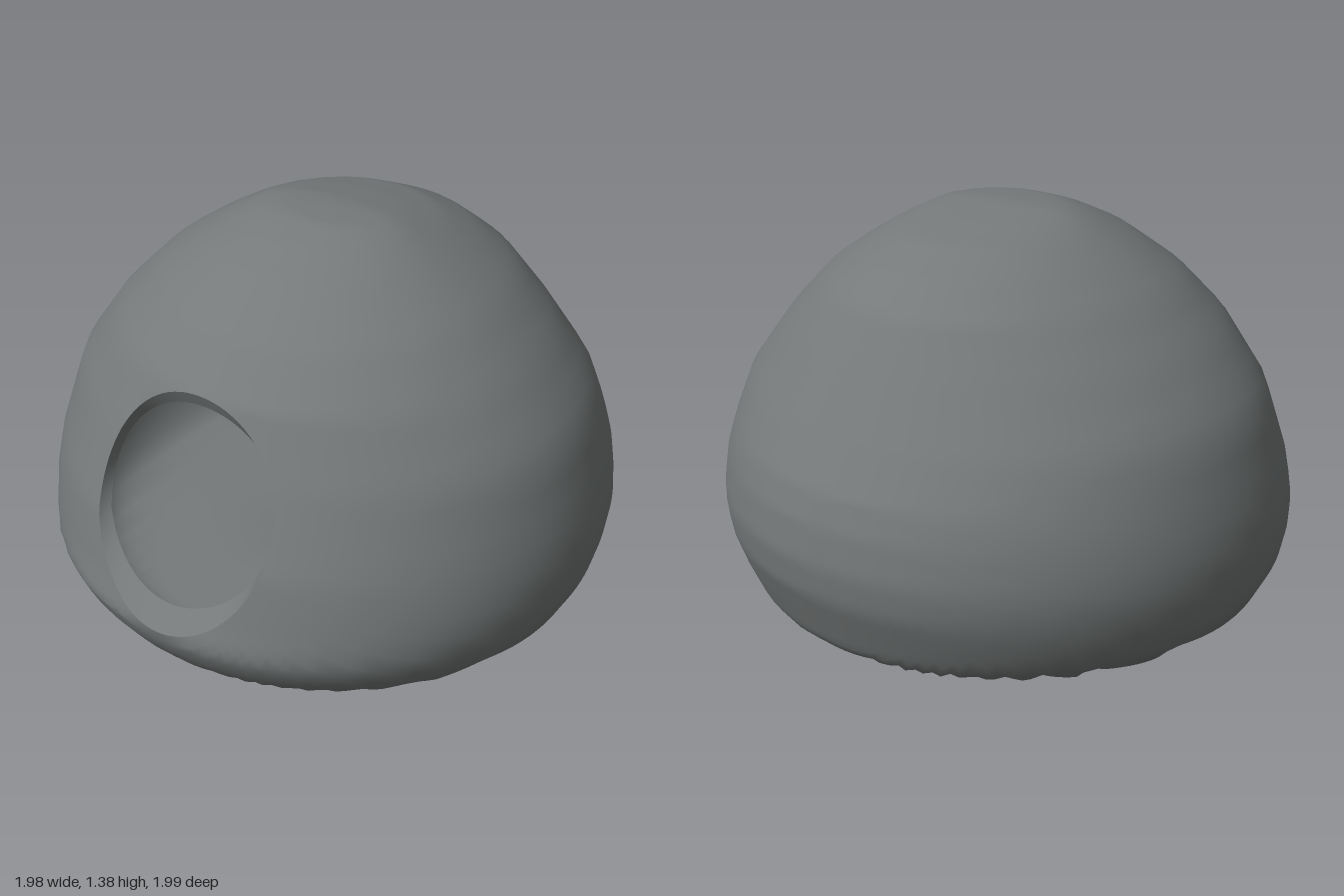
import * as THREE from 'three';
import { mergeVertices } from 'three/addons/utils/BufferGeometryUtils.js';

// Dome cross-sections as [height, reach] pairs: sideways, forward and backward.
const SIDE = [[0.04, 0.78], [0.06, 0.87], [0.1, 0.915], [0.2, 0.965], [0.3, 0.985], [0.4, 0.995], [0.55, 0.97], [0.8, 0.9],
  [1, 0.75], [1.16, 0.59], [1.25, 0.46], [1.31, 0.36], [1.36, 0.26], [1.376, 0.19], [1.383, 0]];
const FRONT = [[0.04, 0.78], [0.06, 0.84], [0.1, 0.905], [0.18, 0.96], [0.26, 0.995], [0.35, 0.965], [0.53, 0.92], [0.8, 0.8],
  [1, 0.71], [1.14, 0.58], [1.28, 0.39], [1.34, 0.26], [1.376, 0.15], [1.383, 0]];
const BACK = [[0.04, 0.8], [0.07, 0.88], [0.1, 0.9], [0.2, 0.94], [0.3, 0.98], [0.42, 0.995], [0.55, 0.98], [0.65, 0.95], [0.8, 0.865],
  [1, 0.745], [1.14, 0.66], [1.24, 0.54], [1.31, 0.39], [1.35, 0.22], [1.376, 0.07], [1.383, 0]];

const CENTER_Y = 0.6, AROUND = 80, ROWS = 90;

function reach(table, y) {
  if (y <= table[0][0]) return table[0][1];
  for (let i = 1; i < table.length; i++) {
    const [y0, r0] = table[i - 1], [y1, r1] = table[i];
    if (y <= y1) return r0 + (r1 - r0) * (y - y0) / (y1 - y0);
  }
  return 0;
}

// Underside: slopes up slightly to the back and sags in the middle
const floorAt = (x, z) => 0.057 - 0.014 * z - 0.055 * Math.exp(-(x * x + z * z) / 0.09);

function inside(x, y, z) {
  if (y < floorAt(x, z) || y > 1.382) return false;
  const a = reach(SIDE, y), b = reach(z > 0 ? FRONT : BACK, y);
  return (x / a) ** 2 + (z / b) ** 2 < 1;
}

// Distance from the centre to the dome surface along a direction
function surfaceDistance(d) {
  let near = 0, far = 1.5;
  for (let i = 0; i < 24; i++) {
    const m = (near + far) / 2;
    if (inside(d.x * m, CENTER_Y + d.y * m, d.z * m)) near = m; else far = m;
  }
  return near;
}

// Oval loop projected on the front of the dome, set back by depth
function oval(cy, rx, ry, depth) {
  return Array.from({ length: AROUND }, (_, j) => {
    const a = j / AROUND * Math.PI * 2;
    const x = rx * Math.cos(a), y = cy + ry * Math.sin(a);
    const z = reach(FRONT, y) * Math.sqrt(1 - (x / reach(SIDE, y)) ** 2);
    return new THREE.Vector3(x, y, z - depth);
  });
}

// Rows of points sweeping from an opening to the middle of the back
function sweep(opening, thickness) {
  const rows = [opening];
  for (let i = 1; i <= ROWS; i++) {
    const t = i / ROWS;
    rows.push(opening.map((p) => {
      const dy = p.y - CENTER_Y;
      const start = Math.atan2(Math.hypot(p.x, dy), p.z);
      const polar = start + (Math.PI - start) * t, turn = Math.atan2(dy, p.x);
      const d = new THREE.Vector3(Math.sin(polar) * Math.cos(turn), Math.sin(polar) * Math.sin(turn), Math.cos(polar));
      const r = surfaceDistance(d) - thickness * Math.min(1, 0.5 + t * 5);
      return new THREE.Vector3(0, CENTER_Y, 0).addScaledVector(d, r);
    }));
  }
  return rows;
}

// Smooth skin through closed rows of points
function skin(rows, inward) {
  const index = [];
  for (let i = 0; i < rows.length - 1; i++) {
    for (let j = 0; j < AROUND; j++) {
      const k = (j + 1) % AROUND;
      const a = i * AROUND + j, b = a + AROUND, c = i * AROUND + k, d = c + AROUND;
      if (inward) index.push(a, c, b, c, d, b);
      else index.push(a, b, c, c, b, d);
    }
  }
  let geometry = new THREE.BufferGeometry().setFromPoints(rows.flat());
  geometry.setIndex(index);
  geometry = mergeVertices(geometry, 1e-5);
  geometry.computeVertexNormals();
  return geometry;
}

export function createModel() {
  const group = new THREE.Group();
  group.name = 'hollowDome';
  const stone = new THREE.MeshStandardMaterial({ color: 0x757979 });
  stone.name = 'greyStone';

  const add = (name, geometry) => {
    const mesh = new THREE.Mesh(geometry, stone);
    mesh.name = name;
    group.add(mesh);
  };

  const rim = oval(0.635, 0.335, 0.365, 0);
  const innerRim = oval(0.645, 0.325, 0.305, 0.045);

  add('outerShell', skin(sweep(rim, 0), false));
  // Bevelled edge of the entrance
  add('entranceLip', skin([rim, innerRim], true));
  // Hollow interior following the outer shape
  add('innerWall', skin(sweep(innerRim, 0.09), true));
  return group;
}
